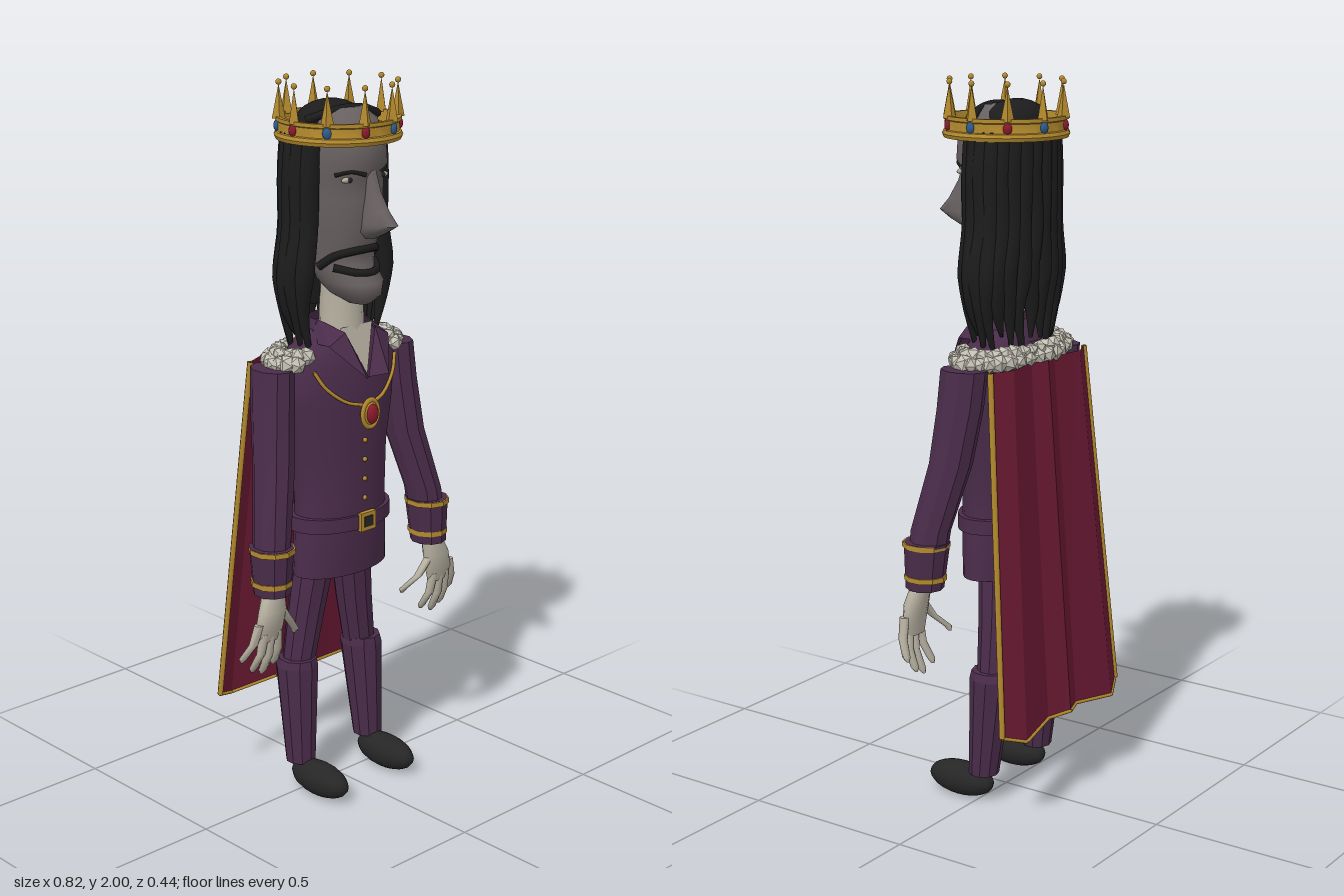
import * as THREE from 'three';
import { toCreasedNormals } from 'three/addons/utils/BufferGeometryUtils.js';

const mat = (name, color, side = THREE.FrontSide) => {
  const m = new THREE.MeshStandardMaterial({ color, side });
  m.name = name;
  return m;
};

export function createModel() {
  const root = new THREE.Group();
  const suit = mat('purple cloth', 0x4a2c4a, THREE.DoubleSide);
  const crimson = mat('crimson cloth', 0x6c1a34, THREE.DoubleSide);
  const black = mat('black hair', 0x1c1c1c);
  const leather = mat('dark leather', 0x262626);
  const gold = mat('gold', 0xb48a2e, THREE.DoubleSide);
  const face = mat('grey skin', 0x686060);
  const skin = mat('pale skin', 0xb4ae9e, THREE.DoubleSide);
  const fur = mat('white fur', 0xc4c0b4);
  const ruby = mat('ruby', 0x8c1a2c);
  const sapphire = mat('sapphire', 0x2c5c90);

  const add = (name, geo, material, x = 0, y = 0, z = 0, parent = root) => {
    const m = new THREE.Mesh(geo, material);
    m.name = name;
    m.position.set(x, y, z);
    parent.add(m);
    return m;
  };
  const group = (name) => {
    const g = new THREE.Group();
    g.name = name;
    root.add(g);
    return g;
  };
  // Indexed mesh with edges sharper than the crease angle kept hard
  const surface = (pos, idx, crease) => {
    const g = new THREE.BufferGeometry();
    g.setAttribute('position', new THREE.Float32BufferAttribute(pos, 3));
    g.setIndex(idx);
    return toCreasedNormals(g, crease);
  };
  // Stack of level ellipses, listed bottom to top as [y, centre x, centre z, rx, rz]
  const loft = (rings, n = 16, crease = 0.9) => {
    const pos = [], idx = [];
    for (const [y, cx, cz, rx, rz] of rings)
      for (let j = 0; j < n; j++) {
        const a = (j / n) * Math.PI * 2;
        pos.push(cx + rx * Math.sin(a), y, cz + rz * Math.cos(a));
      }
    const bottom = rings.length * n, last = bottom - n;
    for (const r of [rings[0], rings[rings.length - 1]]) pos.push(r[1], r[0], r[2]);
    for (let j = 0; j < n; j++) {
      const k = (j + 1) % n;
      for (let i = 0; i < last; i += n) idx.push(i + j, i + k, i + n + k, i + j, i + n + k, i + n + j);
      idx.push(bottom, k, j, bottom + 1, last + j, last + k);
    }
    return surface(pos, idx, crease);
  };
  // Same, with each ring given by its front and back: [y, rx, front z, back z]
  const profileLoft = (rows, n) =>
    loft(rows.map(([y, rx, f, b]) => [y, 0, (f + b) / 2, rx, (f - b) / 2]), n, 1.2);
  const curve = (pts) => new THREE.CatmullRomCurve3(pts.map((p) => new THREE.Vector3(...p)));
  const tube = (pts, r, seg = 16) => new THREE.TubeGeometry(curve(pts), seg, r, 6);
  const ball = (rx, ry, rz, w = 16, h = 12) => new THREE.SphereGeometry(1, w, h).scale(rx, ry, rz);

  // Head and face
  add('head', profileLoft([
    [1.415, 0.025, 0.115, 0.04], [1.44, 0.06, 0.145, -0.02], [1.475, 0.08, 0.145, -0.06],
    [1.52, 0.088, 0.098, -0.08], [1.56, 0.092, 0.105, -0.09], [1.62, 0.1, 0.126, -0.1],
    [1.7, 0.106, 0.126, -0.1], [1.755, 0.108, 0.125, -0.1], [1.785, 0.112, 0.14, -0.11],
    [1.85, 0.11, 0.135, -0.11], [1.9, 0.09, 0.11, -0.09], [1.93, 0.05, 0.07, -0.05],
  ], 28), face);
  add('nose', profileLoft([
    [1.595, 0.015, 0.14, 0.09], [1.615, 0.034, 0.178, 0.08], [1.637, 0.034, 0.217, 0.08],
    [1.67, 0.028, 0.186, 0.08], [1.72, 0.02, 0.155, 0.08], [1.775, 0.015, 0.137, 0.08],
  ], 14), face);
  for (const s of [1, -1]) {
    add('eye', ball(0.022, 0.008, 0.008), skin, s * 0.062, 1.752, 0.1);
    add('pupil', ball(0.007, 0.007, 0.004), leather, s * 0.06, 1.752, 0.107);
    add('eyebrow', tube([[s * 0.025, 1.765, 0.13], [s * 0.06, 1.775, 0.113], [s * 0.09, 1.765, 0.08]], 0.006), black);
  }
  add('moustache', tube([[-0.09, 1.515, 0.02], [-0.07, 1.548, 0.065], [-0.03, 1.562, 0.101],
    [0.03, 1.562, 0.101], [0.07, 1.548, 0.065], [0.09, 1.515, 0.02]], 0.012, 24), black);
  add('beard', tube([[-0.075, 1.515, 0.06], [-0.035, 1.503, 0.108], [0, 1.5, 0.117],
    [0.035, 1.503, 0.108], [0.075, 1.515, 0.06]], 0.011, 24), black);
  add('neck', loft([[1.24, 0, 0.02, 0.075, 0.07], [1.34, 0, 0.012, 0.062, 0.06], [1.47, 0, 0.01, 0.058, 0.058]], 16), skin);

  // Long wavy hair
  const hair = group('hair');
  add('hairTop', ball(0.105, 0.06, 0.075, 24), black, -0.01, 1.885, -0.025, hair);
  add('hairBack', loft([[1.4, 0, -0.06, 0.08, 0.04], [1.5, 0, -0.055, 0.11, 0.06], [1.87, 0, -0.05, 0.12, 0.07]], 20), black, 0, 0, 0, hair);
  add('fringe', tube([[-0.12, 1.9, 0.0], [-0.03, 1.925, 0.04], [0.05, 1.92, 0.045], [0.11, 1.9, 0.035]], 0.012), black, 0, 0, 0, hair);
  const strands = 17;
  for (let i = 0; i < strands; i++) {
    const a = (64 + (232 * i) / (strands - 1)) * Math.PI / 180;
    const side = Math.abs(Math.sin(a)), wave = Math.sin(i * 2.4) * 0.008;
    const end = 1.3 + 0.03 * Math.sin(i * 1.9);
    const at = (y, spread, w) => [Math.sin(a + w) * spread, y, -0.02 + Math.cos(a + w) * (0.09 - 0.005 * side)];
    const c = curve([at(end, 0.135, wave * 4), at(1.4, 0.16, -wave * 5), at(1.5, 0.165, wave * 6),
      at(1.62, 0.142, -wave * 4), at(1.76, 0.142, wave * 3), at(1.87, 0.13, 0)]);
    const rings = [];
    for (let k = 0; k <= 16; k++) {
      const t = k / 16, p = c.getPoint(t), r = 0.005 + 0.025 * Math.min(1, t * 2.6);
      rings.push([p.y, p.x, p.z, r, r]);
    }
    add('hairStrand', loft(rings, 9, 1.2), black, 0, 0, 0, hair);
  }

  // Crown with ten spikes and alternating jewels
  const crown = group('crown');
  const band = [[0.13, 1.848], [0.166, 1.845], [0.17, 1.855], [0.166, 1.864], [0.161, 1.866],
    [0.161, 1.89], [0.166, 1.893], [0.166, 1.903], [0.154, 1.903], [0.15, 1.872], [0.085, 1.87]];
  add('crownBand', toCreasedNormals(new THREE.LatheGeometry(band.map((p) => new THREE.Vector2(...p)), 40), 0.5), gold, 0, 0, 0, crown);
  for (let i = 0; i < 10; i++) {
    const a = (i * Math.PI) / 5 + Math.PI / 2, x = Math.sin(a), z = Math.cos(a);
    const spike = toCreasedNormals(new THREE.ConeGeometry(0.018, 0.09, 4), 0.2);
    add('crownSpike', spike, gold, x * 0.157, 1.942, z * 0.157, crown).rotation.y = a;
    add('spikeBall', ball(0.008, 0.008, 0.008, 10, 8), gold, x * 0.157, 1.992, z * 0.157, crown);
    add('crownJewel', ball(0.012, 0.015, 0.008, 10, 8), i % 2 ? ruby : sapphire, x * 0.163, 1.879, z * 0.163, crown).rotation.y = a;
  }

  // Doublet, open collar and belt
  add('doublet', loft([
    [0.65, 0, 0.005, 0.157, 0.088], [0.8, 0, 0.005, 0.15, 0.098], [0.86, 0, 0.005, 0.144, 0.1],
    [1.0, 0, 0, 0.156, 0.1], [1.13, 0, 0, 0.178, 0.105], [1.25, 0, -0.005, 0.195, 0.1],
    [1.295, 0, -0.01, 0.155, 0.088], [1.34, 0, -0.01, 0.085, 0.07],
  ], 28), suit);
  add('throat', surface([-0.06, 1.35, 0.068, 0, 1.215, 0.112, 0.06, 1.35, 0.068], [0, 1, 2], 0.1), skin);
  add('collarBack', toCreasedNormals(new THREE.CylinderGeometry(0.08, 0.1, 0.06, 16, 1, true, Math.PI / 2, Math.PI), 0.8), suit, 0, 1.335, 0);
  for (const s of [1, -1]) {
    add('lapel', surface([s * 0.075, 1.365, 0.0, s * 0.055, 1.34, 0.085, 0, 1.215, 0.118,
      s * 0.04, 1.225, 0.155, s * 0.11, 1.31, 0.08, s * 0.11, 1.31, 0.0],
    [0, 1, 4, 0, 4, 5, 1, 2, 3, 1, 3, 4], 0.1), suit);
  }
  add('belt', loft([[0.785, 0, 0.003, 0.166, 0.11], [0.825, 0, 0.003, 0.164, 0.11]], 28, 0.5), suit);
  add('buckle', new THREE.BoxGeometry(0.056, 0.052, 0.014), gold, 0, 0.806, 0.114);
  add('buckleCentre', new THREE.BoxGeometry(0.032, 0.03, 0.006), leather, 0, 0.806, 0.12);
  for (const y of [0.87, 0.925, 0.98, 1.035]) add('button', ball(0.007, 0.007, 0.006, 10, 8), gold, 0, y, 0.105);

  // Chain and medallion
  for (const s of [1, -1])
    add('chain', tube([[s * 0.15, 1.245, 0.065], [s * 0.125, 1.2, 0.083], [s * 0.07, 1.155, 0.104], [s * 0.02, 1.14, 0.115]], 0.005), gold);
  add('medallion', ball(0.03, 0.038, 0.016), gold, 0, 1.115, 0.12);
  add('medallionRim', new THREE.TorusGeometry(0.029, 0.006, 8, 20).scale(1, 1.3, 1), gold, 0, 1.115, 0.125);
  add('medallionJewel', ball(0.02, 0.027, 0.012), ruby, 0, 1.115, 0.133);

  // Fur collar: faceted tufts around the shoulders, open at the front
  const furCollar = group('furCollar');
  for (let row = 0; row < 2; row++)
    for (let i = 0; i < 25; i++) {
      const a = (48 + (264 * (i + row * 0.5)) / 25) * Math.PI / 180;
      const tuft = toCreasedNormals(new THREE.IcosahedronGeometry(0.025 + 0.003 * Math.sin(i * 5)), 0.1);
      add('furTuft', tuft, fur, Math.sin(a) * (0.218 - 0.03 * row), 1.267 + 0.016 * row,
        -0.018 + Math.cos(a) * (0.1 - 0.012 * row), furCollar).rotation.set(i, i * 2, row);
    }

  // Arms, hands, legs and shoes
  for (const s of [1, -1]) {
    const limb = (name, rings, material, n = 10, crease = 0.2) =>
      add(name, loft(rings.map(([y, x, ...rest]) => [y, s * x, ...rest]), n, crease), material);
    limb('sleeve', [[0.7, 0.3, 0.055, 0.048, 0.052], [0.82, 0.288, 0.045, 0.05, 0.056], [1.0, 0.246, 0.008, 0.056, 0.06],
      [1.15, 0.23, -0.012, 0.055, 0.066], [1.255, 0.222, -0.02, 0.053, 0.068]], suit);
    limb('cuff', [[0.66, 0.3, 0.058, 0.05, 0.053], [0.79, 0.296, 0.052, 0.06, 0.064]], suit);
    for (const [y, x, r] of [[0.684, 0.3, 0.055], [0.775, 0.296, 0.062]])
      limb('cuffTrim', [[y, x, 0.055, r, r + 0.004], [y + 0.014, x, 0.055, r, r + 0.004]], gold);
    limb('palm', [[0.535, 0.325, 0.072, 0.036, 0.014], [0.57, 0.326, 0.075, 0.048, 0.02],
      [0.62, 0.315, 0.075, 0.046, 0.026], [0.68, 0.302, 0.065, 0.03, 0.026]], skin, 14, 1.2);
    for (const [x0, y0, x1, y1] of [[0.365, 0.59, 0.398, 0.48], [0.348, 0.56, 0.362, 0.442],
      [0.326, 0.555, 0.329, 0.428], [0.302, 0.56, 0.288, 0.445], [0.285, 0.615, 0.21, 0.515]])
      limb('finger', [[y1, x1, 0.043, 0.005, 0.005], [y1 + 0.012, x1, 0.048, 0.011, 0.011],
        [(y0 + y1) / 2, (x0 + x1) / 2, 0.072, 0.012, 0.012], [y0, x0, 0.078, 0.014, 0.013]], skin, 8, 1.2);
    limb('thigh', [[0.36, 0.12, -0.04, 0.047, 0.045], [0.52, 0.093, -0.035, 0.054, 0.052], [0.68, 0.068, -0.025, 0.06, 0.058]], suit);
    limb('lowerLeg', [[0.085, 0.132, -0.016, 0.043, 0.042], [0.37, 0.125, -0.038, 0.06, 0.062], [0.392, 0.124, -0.036, 0.054, 0.055]], suit);
    add('shoe', ball(0.048, 0.048, 0.106, 16, 12), leather, s * 0.13, 0.05, 0.062);
  }

  // Pleated cape, listed as [top x, top z, hem x, hem y, hem z]
  const pleats = [[-0.225, -0.106, -0.285, 0.275, -0.185], [-0.16, -0.135, -0.215, 0.25, -0.217],
    [-0.055, -0.12, -0.07, 0.265, -0.19], [0, -0.138, 0, 0.27, -0.218], [0.055, -0.12, 0.07, 0.265, -0.19],
    [0.16, -0.135, 0.215, 0.25, -0.217], [0.225, -0.106, 0.285, 0.275, -0.185]];
  const tops = pleats.map(([x, z]) => [x, 1.255, z]), hems = pleats.map((p) => p.slice(2));
  const idx = [];
  for (let i = 0; i < 6; i++) idx.push(i, i + 1, i + 8, i, i + 8, i + 7);
  add('cape', surface([...tops, ...hems].flat(), idx, 0.1), crimson);
  const edge = (a, b, r) =>
    add('capeTrim', new THREE.TubeGeometry(new THREE.LineCurve3(new THREE.Vector3(...a), new THREE.Vector3(...b)), 1, r, 6), gold);
  for (let i = 0; i < 6; i++) edge(hems[i], hems[i + 1], 0.005);
  for (const i of [0, 6]) edge(tops[i], hems[i], 0.008);
  return root;
}
